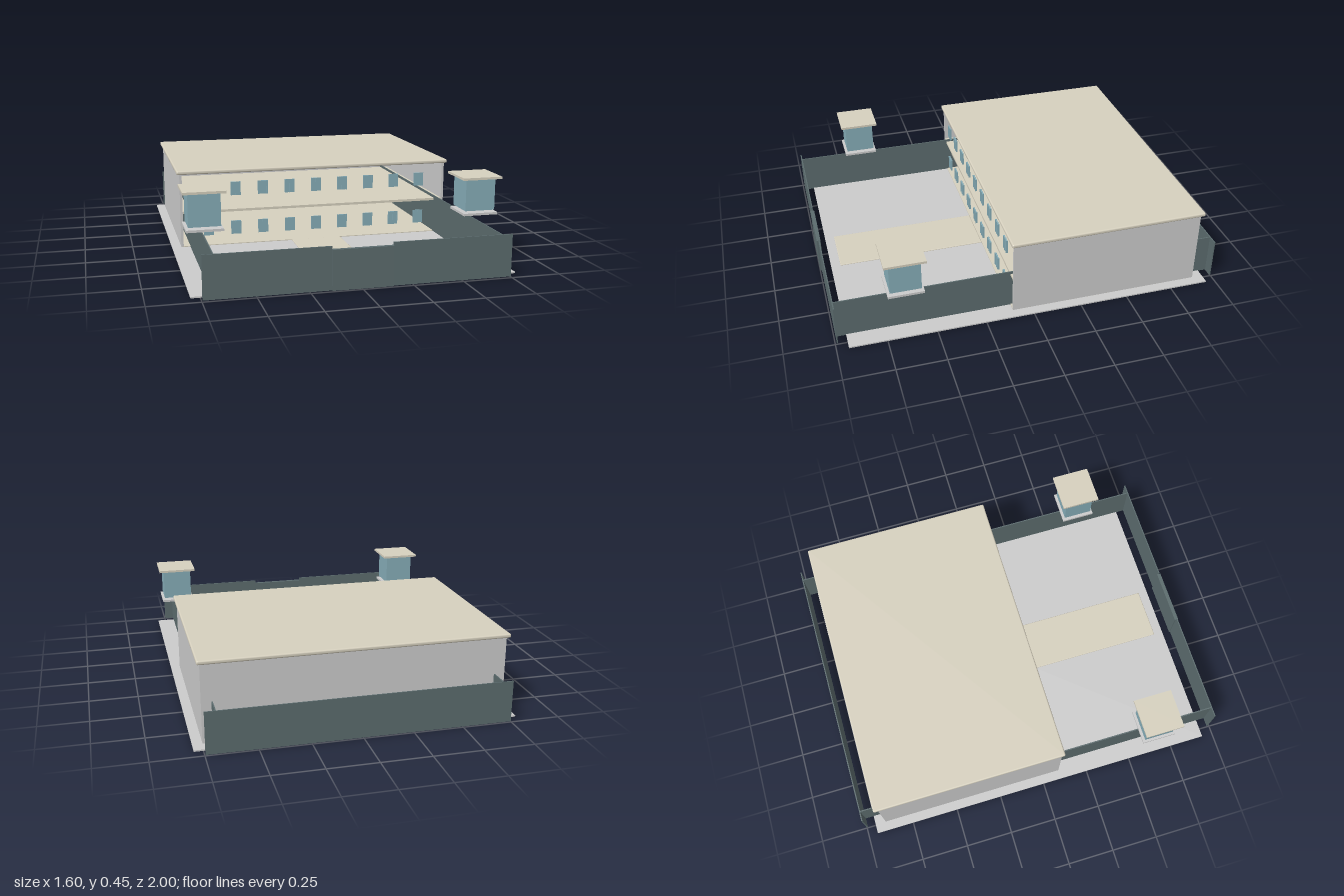
import * as THREE from 'three';
import { RoundedBoxGeometry } from 'three/addons/geometries/RoundedBoxGeometry.js';

const material = (color) => new THREE.MeshStandardMaterial({ color });

export function createModel() {
  const model = new THREE.Group();
  const grey = material(0xcccccc);
  const beige = material(0xd6d0be);
  const slate = material(0x5c6c6e);
  const glass = material(0x86adb8);

  // A box given by its extents on each axis; optional rounded edges.
  function block(name, mat, [x0, x1], [y0, y1], [z0, z1], radius = 0, parent = model) {
    const size = [x1 - x0, y1 - y0, z1 - z0];
    const geometry = radius
      ? new RoundedBoxGeometry(...size, 2, radius)
      : new THREE.BoxGeometry(...size);
    const mesh = new THREE.Mesh(geometry, mat);
    mesh.name = name;
    mesh.position.set((x0 + x1) / 2, (y0 + y1) / 2, (z0 + z1) / 2);
    parent.add(mesh);
    return mesh;
  }

  // Ground and the path to the gate
  block('ground', grey, [-0.795, 0.795], [0.001, 0.008], [-0.95, 0.94]);
  block('path', beige, [-0.138, 0.138], [0.004, 0.013], [0.1, 0.89], 0.004);

  // Open-fronted building: floors, back wall, side walls on two storeys, roof
  const building = new THREE.Group();
  building.name = 'building';
  model.add(building);
  block('groundFloor', beige, [-0.745, 0.745], [0, 0.012], [-0.89, 0.1], 0, building);
  block('upperFloor', beige, [-0.734, 0.734], [0.19, 0.203], [-0.88, 0.1], 0, building);
  for (const [y0, y1] of [[0.01, 0.2], [0.2, 0.405]]) {
    block('backWall', grey, [-0.747, 0.747], [y0, y1], [-0.893, -0.88], 0, building);
    for (const s of [-1, 1]) {
      const wall = block('sideWall', grey, [0.734, 0.747], [y0, y1], [-0.88, 0.1], 0, building);
      wall.position.x *= s;
    }
  }
  block('roof', beige, [-0.762, 0.762], [0.404, 0.425], [-0.912, 0.112], 0.008, building);

  // Two rows of nine windows standing in the open front
  for (const y of [0.065, 0.28]) {
    for (let i = -4; i <= 4; i++) {
      const pane = new THREE.Group();
      pane.name = 'window';
      pane.position.set(i * 0.149, y, 0.1);
      building.add(pane);
      block('windowPane', glass, [-0.027, 0.027], [0, 0.073], [-0.004, 0.002], 0, pane);
      for (const x of [-0.024, 0, 0.024]) {
        block('windowBar', glass, [x - 0.003, x + 0.003], [0, 0.073], [-0.006, 0.004], 0, pane);
      }
    }
  }

  // Yard walls and the gate
  const wallHeight = [0.004, 0.216];
  block('backYardWall', slate, [-0.747, 0.747], wallHeight, [-1, -0.994]);
  for (const s of [-1, 1]) {
    const side = block('sideYardWall', slate, [0.692, 0.698], wallHeight, [-0.994, 0.986]);
    const front = block('frontYardWall', slate, [0.148, 0.747], wallHeight, [0.986, 0.992]);
    side.position.x *= s;
    front.position.x *= s;
  }
  block('gate', slate, [-0.148, 0.148], [0.004, 0.2], [0.98, 1]);

  // Raised lookout cabins
  for (const s of [-1, 1]) {
    const cabin = new THREE.Group();
    cabin.name = 'lookoutCabin';
    cabin.position.set(s * 0.695, 0, 0.643);
    model.add(cabin);
    const square = (name, mat, half, y) =>
      block(name, mat, [-half, half], y, [-half, half], 0, cabin);
    square('cabinBase', grey, 0.09, [0.25, 0.262]);
    square('cabinGlass', glass, 0.078, [0.272, 0.43]);
    square('cabinRoof', beige, 0.103, [0.434, 0.446]);
  }

  return model;
}
